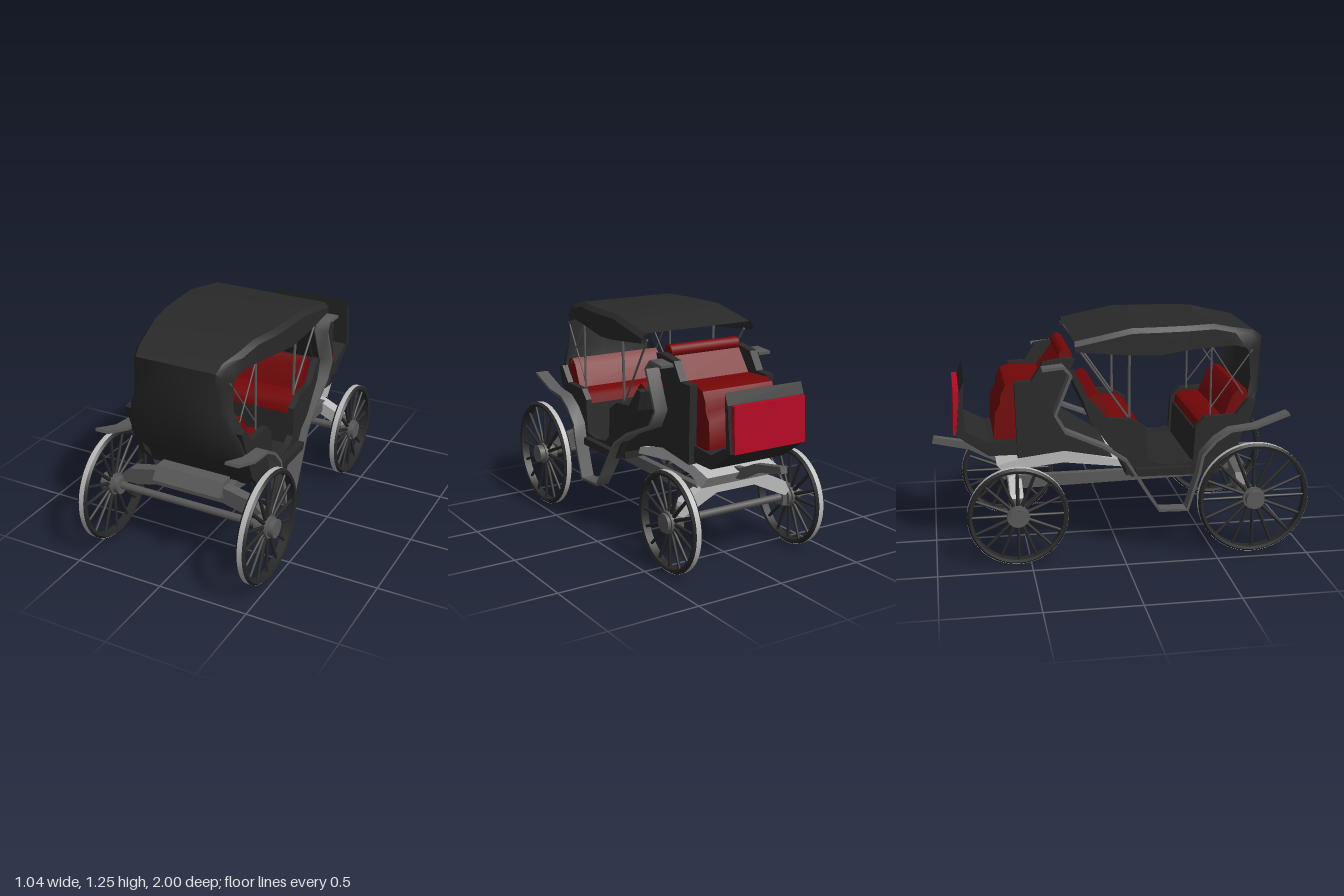
import * as THREE from 'three';
import { toCreasedNormals } from 'three/addons/utils/BufferGeometryUtils.js';

const mat = (name, color, side = THREE.FrontSide) => {
  const m = new THREE.MeshStandardMaterial({ color, side });
  m.name = name;
  return m;
};

export function createModel() {
  const root = new THREE.Group();
  root.name = 'carriage';
  const black = mat('black leather', 0x292929, THREE.DoubleSide);
  const wheelBlack = mat('wheel black', 0x282828, THREE.DoubleSide);
  const grey = mat('iron grey', 0x5a5a5a);
  const light = mat('light grey', 0xbababa, THREE.DoubleSide);
  const red = mat('red upholstery', 0x740608);
  const crimson = mat('crimson panel', 0xb40722);

  const add = (name, geo, material, parent = root) => {
    const m = new THREE.Mesh(geo, material);
    m.name = name;
    parent.add(m);
    return m;
  };
  const box = (name, x, y, z, w, h, d, material) =>
    add(name, new THREE.BoxGeometry(w, h, d), material).position.set(x, y, z);

  // Side profile given as [z, y] points, extruded across x and centred on x
  const profileGeo = (pts, width, x = 0) => {
    const g = new THREE.ExtrudeGeometry(new THREE.Shape(pts.map(p => new THREE.Vector2(...p))),
      { depth: width, bevelEnabled: false });
    return g.rotateY(-Math.PI / 2).translate(width / 2 + x, 0, 0);
  };
  const profile = (name, pts, width, material, x = 0, crease = 0.1) =>
    add(name, toCreasedNormals(profileGeo(pts, width, x), crease), material);
  const cushion = (name, pts, width) => profile(name, pts, width, red, 0, 0.75);

  // Straight rod between two points
  const rod = (name, a, b, r, material, parent = root, r2 = r) => {
    const p = new THREE.Vector3(...a), q = new THREE.Vector3(...b), d = q.clone().sub(p);
    const m = add(name, new THREE.CylinderGeometry(r2, r, d.length(), 10), material, parent);
    m.position.copy(p).add(q).multiplyScalar(0.5);
    m.quaternion.setFromUnitVectors(new THREE.Vector3(0, 1, 0), d.normalize());
  };

  // Skin over rows of cross-section points
  const loft = (rows) => {
    const n = rows[0].length, index = [];
    for (let i = 0; i < rows.length - 1; i++) for (let j = 0; j < n - 1; j++) {
      const a = i * n + j, b = a + n;
      index.push(a, b, a + 1, b, b + 1, a + 1);
    }
    const g = new THREE.BufferGeometry();
    g.setAttribute('position', new THREE.Float32BufferAttribute(rows.flat(2), 3));
    g.setIndex(index);
    return toCreasedNormals(g, 0.75);
  };

  // Thickened [z, y] path, used for mudguards
  const bandPoints = (path, t) => {
    const sides = [[], []];
    path.forEach((p, i) => {
      const a = path[Math.max(i - 1, 0)], b = path[Math.min(i + 1, path.length - 1)];
      const l = Math.hypot(b[0] - a[0], b[1] - a[1]);
      const nx = -(b[1] - a[1]) / l * t / 2, ny = (b[0] - a[0]) / l * t / 2;
      sides[0].push([p[0] + nx, p[1] + ny]);
      sides[1].unshift([p[0] - nx, p[1] - ny]);
    });
    return sides.flat();
  };

  // Wheels
  const wheel = (x, y, z, R, spokes, hubLength) => {
    const g = new THREE.Group();
    g.name = 'wheel';
    const section = [[0.001, 0.013], [0.001, -0.013], [0.012, -0.026], [0.027, -0.022],
      [0.027, 0.022], [0.012, 0.026], [0.001, 0.013]].map(([inset, h]) => new THREE.Vector2(R - inset, h));
    add('rim', toCreasedNormals(new THREE.LatheGeometry(section, 48), 0.5), wheelBlack, g);
    add('tyre', new THREE.CylinderGeometry(R, R, 0.028, 48, 1, true), light, g);
    add('hub', new THREE.CylinderGeometry(0.05, 0.05, hubLength, 20), grey, g);
    add('hubFlange', new THREE.CylinderGeometry(0.06, 0.06, 0.045, 20), grey, g);
    for (let i = 0; i < spokes; i++) {
      const a = i / spokes * Math.PI * 2, c = Math.cos(a), s = Math.sin(a);
      rod('spoke', [c * 0.045, 0, s * 0.045], [c * (R - 0.022), 0, s * (R - 0.022)], 0.011, wheelBlack, g, 0.008);
    }
    g.rotation.z = Math.PI / 2;
    g.position.set(x, y, z);
    root.add(g);
  };
  for (const s of [-1, 1]) {
    wheel(s * 0.463, 0.332, 0.695, 0.306, 16, 0.11);
    wheel(s * 0.388, 0.272, -0.565, 0.27, 16, 0.08);
    box('axleBlock', s * 0.345, 0.29, -0.565, 0.05, 0.12, 0.06, grey);
  }
  rod('frontAxle', [-0.505, 0.332, 0.695], [0.505, 0.332, 0.695], 0.021, grey);
  rod('rearAxle', [-0.415, 0.272, -0.565], [0.415, 0.272, -0.565], 0.02, grey);

  // Undercarriage: cross springs, rails, light deck and pole
  const crossSpring = (name, pts, z, depth, material) => {
    const shape = new THREE.Shape([...pts, ...pts.map(p => [-p[0], p[1]]).reverse()].map(p => new THREE.Vector2(...p)));
    add(name, new THREE.ExtrudeGeometry(shape, { depth, bevelEnabled: false }).translate(0, 0, z), material);
  };
  crossSpring('frontSpring', [[0.2, 0.385], [0.32, 0.355], [0.41, 0.35], [0.42, 0.39], [0.36, 0.44], [0.2, 0.475]], 0.62, 0.06, grey);
  crossSpring('rearSpring', [[0.12, 0.39], [0.33, 0.29], [0.36, 0.31], [0.33, 0.37], [0.14, 0.46]], -0.6, 0.07, light);
  profile('springBox', [[0.6, 0.44], [0.6, 0.5], [0.67, 0.5], [0.72, 0.435], [0.68, 0.42]], 0.4, grey);
  for (const s of [-1, 1])
    profile('rail', [[0.64, 0.42], [0.58, 0.46], [0.45, 0.44], [-0.55, 0.435], [-0.6, 0.4], [-0.55, 0.365], [0.45, 0.385]], 0.04, grey, s * 0.2);
  profile('deck', [[0.02, 0.46], [0, 0.5], [-0.3, 0.575], [-0.53, 0.535], [-0.66, 0.5], [-0.6, 0.43], [-0.5, 0.48], [-0.3, 0.5]], 0.44, light);
  profile('pole', [[-0.55, 0.45], [-0.55, 0.51], [-0.66, 0.52], [-0.78, 0.575], [-0.99, 0.615], [-1, 0.58], [-0.8, 0.535], [-0.66, 0.46]], 0.04, grey);

  // Passenger tub: sides, floor, door sill, seats
  const tubSide = [[0.73, 0.84], [0.69, 0.85], [0.62, 0.76], [0.45, 0.755], [0.4, 0.7], [0.39, 0.51], [0.3, 0.495],
    [0.18, 0.51], [0.14, 0.55], [0.13, 0.71], [0.05, 0.76], [-0.08, 0.77], [-0.17, 0.88], [-0.205, 0.87],
    [-0.17, 0.76], [-0.02, 0.56], [0.05, 0.44], [0.52, 0.43], [0.62, 0.54]];
  for (const s of [-1, 1]) profile('tubSide', tubSide, 0.035, black, s * 0.32);
  box('floor', 0, 0.46, 0.28, 0.6, 0.05, 0.5, black);
  box('doorSill', 0, 0.47, 0.22, 0.75, 0.04, 0.3, black);
  profile('frontSeatBase', [[0.64, 0.67], [0.41, 0.67], [0.4, 0.46], [0.55, 0.45]], 0.6, black);
  profile('rearSeatBase', [[0.12, 0.67], [0.13, 0.48], [0.05, 0.45], [-0.03, 0.56], [-0.17, 0.76], [-0.205, 0.87], [-0.175, 0.88], [-0.1, 0.7]], 0.6, black);
  cushion('frontCushion', [[0.64, 0.67], [0.64, 0.735], [0.46, 0.735], [0.43, 0.715], [0.42, 0.67]], 0.6);
  cushion('rearCushion', [[-0.09, 0.67], [-0.09, 0.735], [0.08, 0.735], [0.11, 0.71], [0.12, 0.67]], 0.6);
  cushion('frontBackrest', [[0.56, 0.73], [0.615, 0.86], [0.65, 0.895], [0.69, 0.885], [0.71, 0.8], [0.65, 0.7]], 0.58);
  cushion('rearBackrest', [[-0.04, 0.73], [-0.1, 0.87], [-0.13, 0.9], [-0.18, 0.875], [-0.1, 0.7]], 0.58);

  // Hood roof: [z, half width, edge height, top height]
  const roof = [[-0.25, 0.357, 1.14, 1.19], [-0.1, 0.357, 1.125, 1.22], [0.05, 0.355, 1.11, 1.25], [0.2, 0.35, 1.105, 1.25],
    [0.35, 0.338, 1.125, 1.25], [0.5, 0.308, 1.13, 1.25], [0.62, 0.285, 1.13, 1.222]];
  const roofRows = roof.map(([z, w, e, t]) =>
    [[-w, e, z], [-w, t - 0.025, z], [-w + 0.025, t, z], [0, t, z], [w - 0.025, t, z], [w, t - 0.025, z], [w, e, z]]);
  // Hood end, curving down into the tub: [side x, y, z], [corner x, y, z], [face x, y, z]
  const end = [[0.282, 1.115, 0.68, 0.26, 1.18, 0.72, 0.235, 1.202, 0.73], [0.278, 1.1, 0.695, 0.25, 1.14, 0.762, 0.225, 1.165, 0.782]];
  // Curtain below: [y, side x, side z, corner x, face z]
  const curtain = [[1.07, 0.278, 0.7, 0.25, 0.777], [0.95, 0.283, 0.71, 0.265, 0.768], [0.875, 0.312, 0.69, 0.295, 0.757],
    [0.78, 0.332, 0.66, 0.32, 0.738], [0.69, 0.337, 0.6, 0.33, 0.71], [0.63, 0.337, 0.56, 0.318, 0.68],
    [0.5, 0.337, 0.5, 0.28, 0.58], [0.43, 0.33, 0.48, 0.25, 0.52]];
  end.push(...curtain.map(([y, sx, sz, cx, cz]) => [sx, y, sz, cx, y, cz - 0.02, cx - 0.03, y, cz]));
  const endRows = end.map(([a, b, c, d, e, f, g, h, i]) =>
    [[-a, b, c], [-d, e, f], [-g, h, i], [0, h, i], [g, h, i], [d, e, f], [a, b, c]]);
  add('hood', loft([...roofRows, ...endRows]), black);

  // Hood stays
  for (const s of [-1, 1]) {
    rod('stay', [s * 0.29, 0.75, 0.49], [s * 0.29, 1.2, 0.49], 0.006, grey);
    rod('stay', [s * 0.29, 0.75, 0.045], [s * 0.3, 1.22, 0.045], 0.008, grey);
    rod('slantStay', [s * 0.29, 0.76, 0.04], [s * 0.31, 1.15, -0.23], 0.006, grey);
    rod('crossStay', [s * 0.29, 0.79, 0.49], [s * 0.27, 1.1, 0.72], 0.004, grey);
    rod('crossStay', [s * 0.29, 1.13, 0.49], [s * 0.29, 0.86, 0.67], 0.004, grey);
  }

  // Driver's box, seat, footboard and dash
  profile('driverBox', [[-0.04, 0.53], [-0.31, 0.71], [-0.345, 0.8], [-0.245, 1.08], [-0.28, 1.07], [-0.4, 0.85], [-0.54, 0.8], [-0.54, 0.56], [-0.3, 0.58]], 0.45, black);
  for (const s of [-1, 1])
    profile('driverSide', [[-0.04, 0.53], [-0.31, 0.71], [-0.355, 0.8], [-0.24, 1.08], [-0.29, 1.085], [-0.41, 1.065],
      [-0.47, 0.97], [-0.56, 0.965], [-0.55, 0.55], [-0.3, 0.58]], 0.045, black, s * 0.24);
  cushion('driverSeat', [[-0.27, 1.07], [-0.31, 1.07], [-0.4, 0.95], [-0.56, 0.955], [-0.605, 0.94], [-0.63, 0.89], [-0.635, 0.84],
    [-0.665, 0.79], [-0.67, 0.65], [-0.55, 0.63], [-0.5, 0.7], [-0.38, 0.83]], 0.435);
  rod('driverBolster', [-0.215, 1.09, -0.283], [0.215, 1.09, -0.283], 0.036, red);
  profile('footboard', [[-0.53, 0.56], [-0.53, 0.65], [-0.7, 0.635], [-0.82, 0.7], [-0.86, 0.68], [-0.83, 0.65], [-0.7, 0.56]], 0.46, black);
  profile('dash', [[-0.84, 0.66], [-0.82, 0.98], [-0.845, 0.92], [-0.87, 0.68]], 0.47, black);
  profile('dashPanel', [[-0.852, 0.68], [-0.848, 0.92], [-0.878, 0.92], [-0.886, 0.68]], 0.435, crimson);

  // Mudguards sweeping down to the step and up beside the driver
  const guard = [[0.9, 0.77], [0.72, 0.705], [0.58, 0.69], [0.5, 0.64], [0.43, 0.56], [0.41, 0.46], [0.35, 0.255], [0.2, 0.255],
    [0.15, 0.33], [0.02, 0.54], [-0.1, 0.62], [-0.3, 0.705], [-0.355, 0.8], [-0.27, 1.01], [-0.31, 1.055], [-0.42, 1.045]];
  for (const s of [-1, 1]) {
    const g = profileGeo(bandPoints(guard, 0.016), 0.076);
    const p = g.attributes.position;
    for (let i = 0; i < p.count; i++)
      p.setX(i, p.getX(i) + s * THREE.MathUtils.mapLinear(THREE.MathUtils.clamp(p.getZ(i), -0.3, 0.4), -0.3, 0.4, 0.308, 0.372));
    add('mudguard', toCreasedNormals(g, 1.1), grey);
  }

  return root;
}
